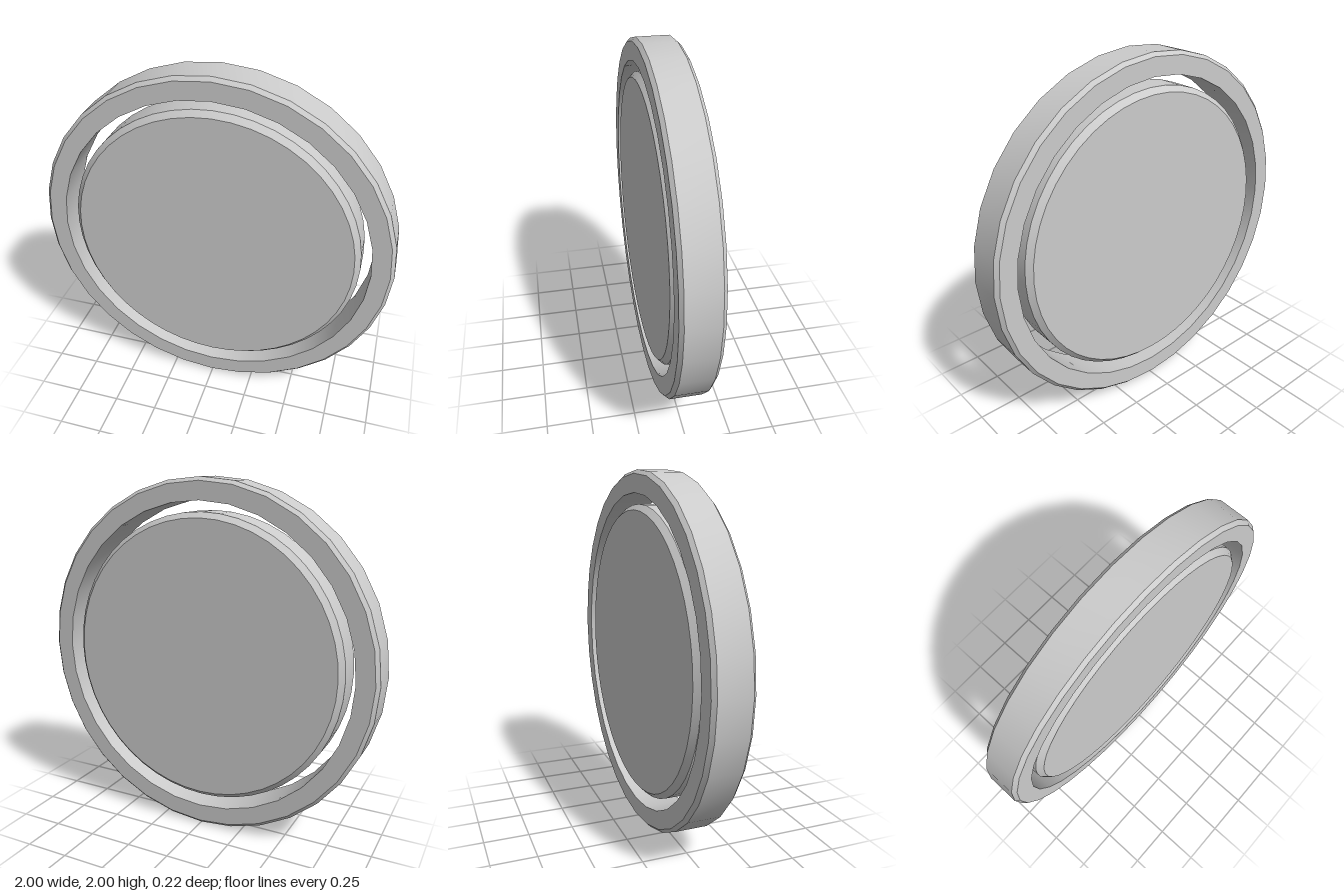
import * as THREE from 'three';
import { toCreasedNormals } from 'three/addons/utils/BufferGeometryUtils.js';

const HALF_DEPTH = 0.11;

// Turns a [radius, depth] profile around the z axis, keeping chamfer edges sharp
function turned(name, profile, segments, material) {
  const points = profile.map(([r, z]) => new THREE.Vector2(r, z));
  const lathe = new THREE.LatheGeometry(points, segments).rotateX(Math.PI / 2);
  const mesh = new THREE.Mesh(toCreasedNormals(lathe, 0.5), material);
  mesh.name = name;
  mesh.position.y = 1;
  return mesh;
}

// Outer edge of a part with an equal chamfer on front and back
function chamferedEdge(radius, bevel) {
  const h = HALF_DEPTH;
  return [
    [radius - bevel, -h],
    [radius, -h + bevel],
    [radius, h - bevel],
    [radius - bevel, h],
  ];
}

export function createModel() {
  const group = new THREE.Group();
  group.name = 'ringedDisc';
  const material = new THREE.MeshStandardMaterial({ color: 0xcccccc });
  const h = HALF_DEPTH;

  // Outer ring with a straight inner bore
  group.add(turned('outerRing',
    [[0.88, -h], ...chamferedEdge(1, 0.02), [0.88, h], [0.88, -h]], 32, material));

  // Solid disc floating inside the ring
  group.add(turned('innerDisc',
    [[0, -h], ...chamferedEdge(0.82, 0.03), [0, h]], 48, material));

  return group;
}
